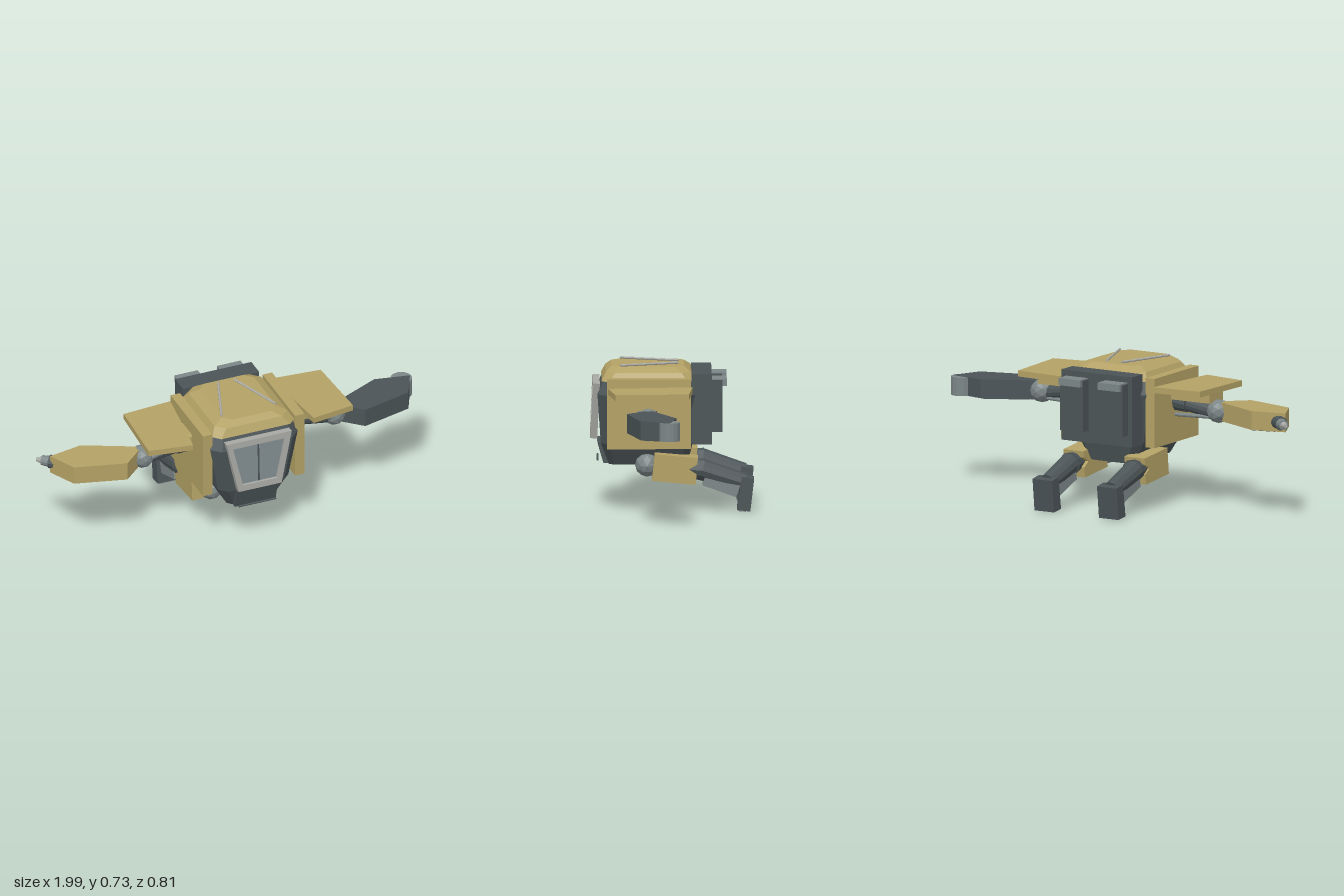
import * as THREE from 'three';

const material = (name, color) => {
  const m = new THREE.MeshStandardMaterial({ color, flatShading: true });
  m.name = name;
  return m;
};

export function createModel() {
  const tan = material('tan armour', 0xb3a165);
  const dark = material('dark metal', 0x4b5457);
  const steel = material('steel', 0x7c8687);
  const pale = material('pale frame', 0xa9a9a5);
  const glass = material('glass', 0x808c8f);

  const root = new THREE.Group();
  root.name = 'walker';
  root.position.x = 0.02;

  const add = (name, geometry, mat, x = 0, y = 0, z = 0) => {
    const mesh = new THREE.Mesh(geometry, mat);
    mesh.name = name;
    mesh.position.set(x, y, z);
    root.add(mesh);
    return mesh;
  };
  // Box given by its limits
  const box = (name, mat, x0, x1, y0, y1, z0, z1) =>
    add(name, new THREE.BoxGeometry(Math.abs(x1 - x0), y1 - y0, z1 - z0), mat,
      (x0 + x1) / 2, (y0 + y1) / 2, (z0 + z1) / 2);
  // Tapered round bar between two points
  const bar = (name, mat, a, b, r0, r1 = r0, sides = 10) => {
    const p = new THREE.Vector3(...a), q = new THREE.Vector3(...b);
    const d = q.clone().sub(p);
    const mesh = add(name, new THREE.CylinderGeometry(r1, r0, d.length(), sides), mat);
    mesh.position.copy(p).add(q).multiplyScalar(0.5);
    mesh.quaternion.setFromUnitVectors(new THREE.Vector3(0, 1, 0), d.normalize());
    return mesh;
  };
  const shapeOf = pts => new THREE.Shape(pts.map(p => new THREE.Vector2(...p)));
  const extrude = (shape, depth) => new THREE.ExtrudeGeometry(shape, { depth, bevelEnabled: false });
  // Outline in (x, z), extruded downward from top
  const slab = (name, mat, pts, top, thick) =>
    add(name, extrude(shapeOf(pts), thick).rotateX(Math.PI / 2), mat, 0, top, 0);
  // Outline in (z, y), extruded across x
  const sideSlab = (name, mat, pts, x, width) =>
    add(name, extrude(shapeOf(pts), width).rotateY(-Math.PI / 2), mat, x + width / 2, 0, 0);

  // Stack of chamfered rectangles: [y, half width, back z, front z, chamfer]
  const loft = (name, mat, rings) => {
    const pos = [], index = [];
    for (const [y, w, b, f, c] of rings) {
      for (const [x, z] of [[w, b + c], [w, f - c], [w - c, f], [c - w, f],
        [-w, f - c], [-w, b + c], [c - w, b], [w - c, b]]) pos.push(x, y, z);
    }
    for (let r = 0; r < rings.length - 1; r++) {
      for (let i = 0; i < 8; i++) {
        const a = r * 8 + i, b = r * 8 + (i + 1) % 8;
        index.push(a, a + 8, b, b, a + 8, b + 8);
      }
    }
    const t = (rings.length - 1) * 8;
    for (let i = 1; i < 7; i++) {
      index.push(0, i, i + 1);
      index.push(t, t + i + 1, t + i);
    }
    // Ring order runs clockwise seen from above, so flip everything outward
    for (let i = 0; i < index.length; i += 3) {
      const [A, B, C] = [0, 1, 2].map(k => new THREE.Vector3().fromArray(pos, index[i + k] * 3));
      const n = B.clone().sub(A).cross(C.clone().sub(A));
      const mid = new THREE.Vector3(0, (rings[0][0] + rings.at(-1)[0]) / 2, 0.115);
      if (n.dot(A.add(B).add(C).divideScalar(3).sub(mid)) < 0) {
        [index[i + 1], index[i + 2]] = [index[i + 2], index[i + 1]];
      }
    }
    const g = new THREE.BufferGeometry();
    g.setAttribute('position', new THREE.Float32BufferAttribute(pos, 3));
    g.setIndex(index);
    const flat = g.toNonIndexed();
    flat.computeVertexNormals();
    return add(name, flat, mat);
  };

  // Hull and roof
  loft('hull', dark, [
    [0.225, 0.13, -0.08, 0.31, 0.03],
    [0.335, 0.19, -0.105, 0.35, 0.04],
    [0.585, 0.235, -0.134, 0.367, 0.045],
    [0.655, 0.21, -0.11, 0.335, 0.04]]);
  loft('roof', tan, [
    [0.65, 0.22, -0.115, 0.346, 0.035],
    [0.692, 0.195, -0.097, 0.325, 0.045],
    [0.718, 0.145, -0.064, 0.297, 0.04]]);

  // Chin plate and bar
  sideSlab('chinPlate', dark, [[0.367, 0.335], [0.346, 0.335], [0.312, 0.23], [0.337, 0.23]], 0, 0.22);
  bar('chinBar', dark, [-0.1, 0.246, 0.365], [0.1, 0.246, 0.365], 0.005);

  // Windscreen: frame, two panes, centre post
  const trapezoid = (top, bottom, h) => [[-bottom, -h], [bottom, -h], [top, h], [-top, h]];
  const frameShape = shapeOf(trapezoid(0.175, 0.115, 0.141));
  frameShape.holes.push(new THREE.Path(trapezoid(0.141, 0.092, 0.108).map(p => new THREE.Vector2(...p))));
  const tilt = -0.045;
  add('windscreenFrame', extrude(frameShape, 0.035), pale, 0, 0.495, 0.361).rotation.x = tilt;
  for (const s of [-1, 1]) {
    const pane = shapeOf([[0.003 * s, -0.108], [0.094 * s, -0.108], [0.143 * s, 0.108], [0.003 * s, 0.108]]);
    add('windscreenPane', extrude(pane, 0.008), glass, 0, 0.495, 0.373).rotation.x = tilt;
  }
  add('windscreenPost', new THREE.BoxGeometry(0.008, 0.22, 0.012), dark, 0, 0.495, 0.377).rotation.x = tilt;

  // Backpack
  box('backpack', dark, -0.205, 0.205, 0.335, 0.69, -0.2, -0.1);

  for (const s of [-1, 1]) {
    const flip = pts => pts.map(([x, z]) => [x * s, z]);

    // Backpack units with exhaust caps
    box('backpackUnit', dark, 0.048 * s, 0.182 * s, 0.395, 0.655, -0.253, -0.19);
    box('exhaustCap', steel, 0.052 * s, 0.178 * s, 0.625, 0.661, -0.275, -0.19);

    // Roof rail
    bar('roofRail', pale, [0.043 * s, 0.724, -0.035], [0.145 * s, 0.724, 0.252], 0.006, 0.006, 8);

    // Side armour and shoulder plate
    box('sideArmour', tan, 0.222 * s, 0.273 * s, 0.322, 0.672, -0.097, 0.319);
    slab('shoulderPlate', tan, flip([[0.27, -0.105], [0.53, -0.085], [0.55, 0.28], [0.325, 0.315]]), 0.632, 0.03);
    sideSlab('shoulderBlock', tan, [[0.18, 0.545], [0.18, 0.59], [0.172, 0.602],
      [0.063, 0.602], [0.055, 0.59], [0.055, 0.545]], 0.387 * s, 0.226);

    // Upper arm and elbow
    bar('shoulderJoint', dark, [0.26 * s, 0.53, 0.117], [0.34 * s, 0.52, 0.117], 0.05, 0.045, 12);
    bar('upperArm', dark, [0.32 * s, 0.52, 0.117], [0.5 * s, 0.492, 0.117], 0.036, 0.036, 12);
    bar('armPiston', steel, [0.27 * s, 0.565, 0.16], [0.5 * s, 0.5, 0.15], 0.014);
    bar('armRod', steel, [0.28 * s, 0.465, 0.09], [0.5 * s, 0.47, 0.1], 0.01);
    add('elbow', new THREE.IcosahedronGeometry(0.06, 1), steel, 0.515 * s, 0.5, 0.117);

    // Forearm with lower strips
    slab('forearm', s > 0 ? dark : tan, flip([[0.535, 0.1], [0.535, 0.13], [0.64, 0.225], [0.9, 0.158],
      [0.968, 0.015], [0.79, -0.02]]), 0.55, 0.095);
    slab('forearmUnderside', dark, flip([[0.58, 0.11], [0.65, 0.2], [0.87, 0.14], [0.9, 0.03], [0.78, 0.005]]), 0.456, 0.008);
    bar('forearmRod', steel, [0.64 * s, 0.45, 0.18], [0.85 * s, 0.45, 0.12], 0.008);

    // Hip, thigh and knee
    add('hip', new THREE.IcosahedronGeometry(0.06, 1), steel, 0.148 * s, 0.227, 0.12);
    sideSlab('thigh', tan, [[0.083, 0.292], [-0.132, 0.272], [-0.128, 0.24], [-0.086, 0.215],
      [-0.125, 0.19], [-0.119, 0.138], [0.097, 0.158]], 0.178 * s, 0.118);
    bar('knee', dark, [0.182 * s, 0.214, -0.085], [0.182 * s, 0.208, -0.16], 0.045, 0.058, 12);
    bar('shin', dark, [0.186 * s, 0.21, -0.15], [0.186 * s, 0.143, -0.362], 0.054, 0.046, 12);
    sideSlab('calf', steel, [[-0.17, 0.19], [-0.154, 0.134], [-0.321, 0.075], [-0.345, 0.14]], 0.186 * s, 0.085);

    // Foot and sole
    sideSlab('foot', dark, [[-0.349, 0.177], [-0.41, 0.167], [-0.391, 0.005], [-0.325, 0.013]], 0.188 * s, 0.114);
    sideSlab('sole', steel, [[-0.33, 0.02], [-0.37, 0.015], [-0.369, 0.002], [-0.329, 0.006]], 0.188 * s, 0.09);
  }

  // Hands: round grip on the left, pointed barrel on the right
  add('leftHand', new THREE.CylinderGeometry(0.054, 0.054, 0.092, 16), steel, 0.921, 0.502, 0.016);
  bar('rightHandBase', dark, [-0.9, 0.502, 0.04], [-0.96, 0.502, -0.012], 0.036, 0.034, 12);
  bar('rightHand', steel, [-0.94, 0.502, 0.005], [-0.99, 0.502, -0.038], 0.03, 0.025, 12);
  bar('rightHandTip', pale, [-0.985, 0.502, -0.034], [-1.012, 0.502, -0.056], 0.02, 0.01, 12);

  return root;
}
